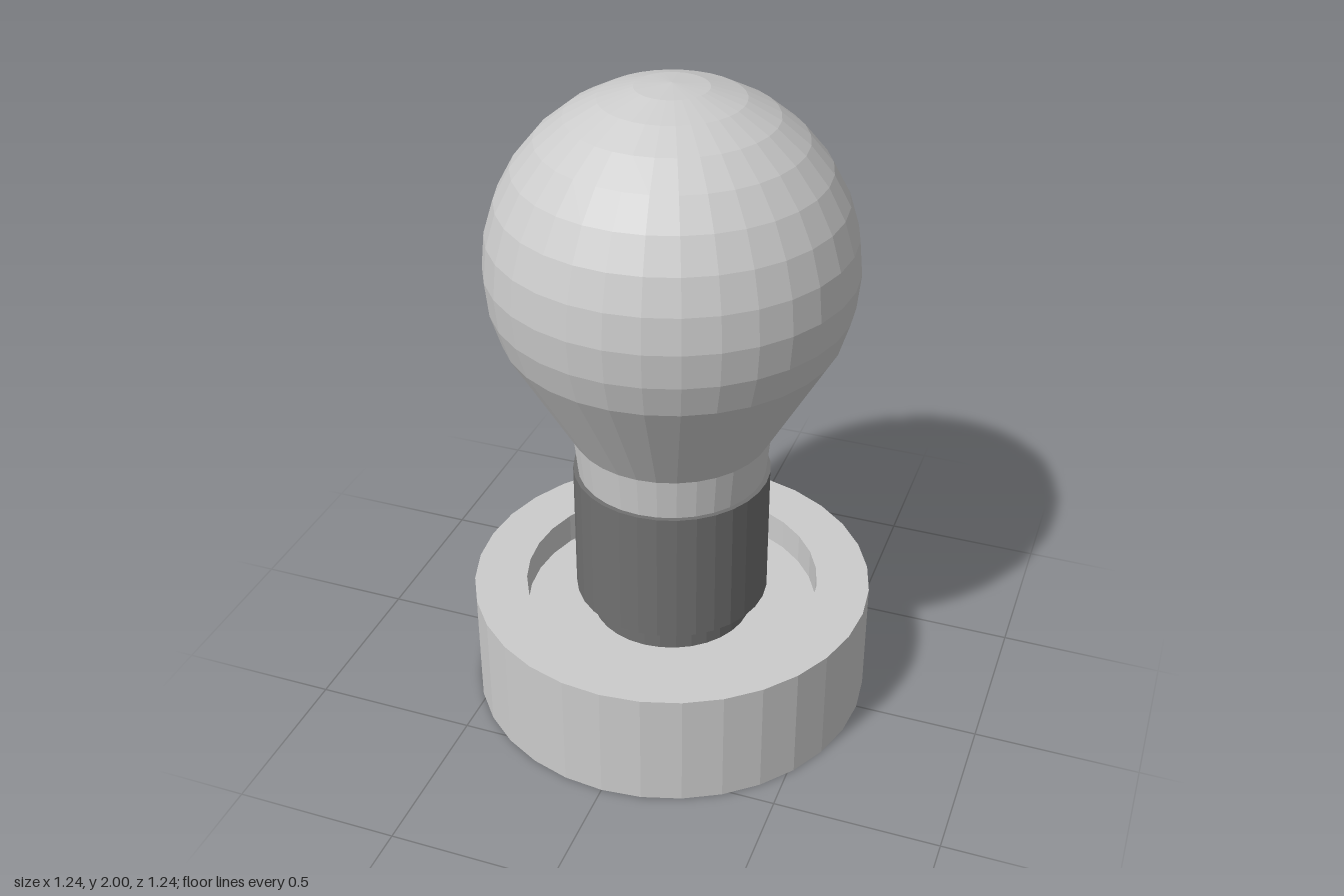
import * as THREE from 'three';

const SIDES = 32;
const light = new THREE.MeshStandardMaterial({ color: 0xcccccc, flatShading: true });
const dark = new THREE.MeshStandardMaterial({ color: 0x707070, flatShading: true });

// Revolves a bottom-to-top outline of [radius, height] pairs
function turned(name, outline, material) {
  const points = outline.map(([r, y]) => new THREE.Vector2(r, y));
  const mesh = new THREE.Mesh(new THREE.LatheGeometry(points, SIDES), material);
  mesh.name = name;
  return mesh;
}

export function createModel() {
  const group = new THREE.Group();
  group.name = 'lightBulbOnBase';

  // Round base with a shallow recess in its top
  group.add(turned('base', [
    [0, 0], [0.62, 0], [0.62, 0.37], [0.457, 0.37], [0.457, 0.27], [0, 0.27],
  ], light));

  // Narrow contact standing in the recess
  group.add(turned('contact', [[0, 0.27], [0.25, 0.27], [0.25, 0.36], [0, 0.36]], dark));

  // Dark socket
  group.add(turned('socket', [[0, 0.355], [0.3, 0.355], [0.3, 0.78], [0, 0.78]], dark));

  // Glass: slightly flared neck, cone, then a faceted sphere
  const radius = 0.537, centre = 1.463;
  const glass = [[0, 0.77], [0.285, 0.77], [0.299, 0.91]];
  for (let i = 10; i >= 0; i--) {
    const a = (i * Math.PI) / 16;
    glass.push([radius * Math.sin(a), centre + radius * Math.cos(a)]);
  }
  group.add(turned('glassBulb', glass, light));

  return group;
}
